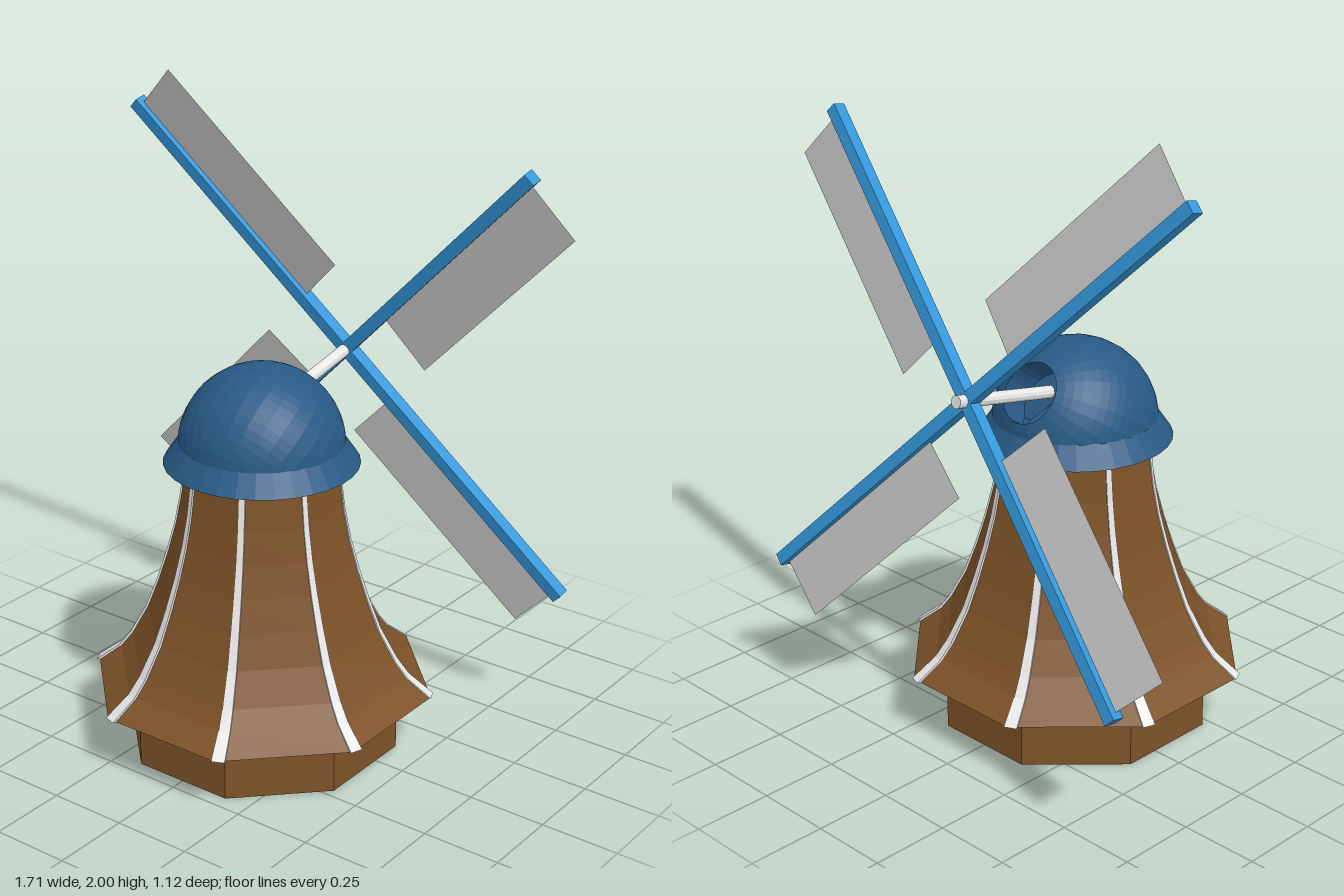
import * as THREE from 'three';

const flat = (name, color) => {
  const m = new THREE.MeshStandardMaterial({ color, flatShading: true, side: THREE.DoubleSide });
  m.name = name;
  return m;
};
const wood = flat('brown wood', 0x7d5228);
const trim = flat('white trim', 0xeeeeee);
const canvas = flat('grey canvas', 0xcacaca);
const capBlue = flat('dark blue', 0x285a86);
const armBlue = flat('bright blue', 0x3498db);

const EIGHTH = Math.PI / 4;
const TOWER_Z = 0.055;

function add(parent, name, geometry, material, x = 0, y = 0, z = 0) {
  const mesh = new THREE.Mesh(geometry, material);
  mesh.name = name;
  mesh.position.set(x, y, z);
  parent.add(mesh);
  return mesh;
}

// Flared tower outline: half-width across flats, height
const outline = [
  [0.5, 0.19], [0.43, 0.25], [0.395, 0.3], [0.345, 0.4], [0.31, 0.5],
  [0.28, 0.6], [0.255, 0.7], [0.237, 0.8], [0.22, 0.95],
].map(([a, y]) => new THREE.Vector2(a / Math.cos(EIGHTH / 2), y));

// Thin trim that follows one corner of the tower, its side columns tucked into the wall
function ribGeometry(corner) {
  const g = new THREE.LatheGeometry(outline, 3, 0, 1);
  const p = g.attributes.position;
  const angles = [-0.022, -0.018, 0.056, 0.056];
  const scales = [0.96, 1.003, 1.0, 0.94];
  for (let i = 0; i < 4; i++) {
    outline.forEach((pt, j) => {
      const r = pt.x * scales[i], phi = corner + angles[i];
      p.setXYZ(i * outline.length + j, r * Math.sin(phi), pt.y, r * Math.cos(phi));
    });
  }
  return g;
}

// Half dome with a recessed round opening for the shaft
function domeGeometry(radius) {
  const open = 0.39, steps = 26, profile = [];
  for (let i = 0; i <= steps; i++) {
    const t = Math.PI - (Math.PI - open) * (i / steps);
    profile.push(new THREE.Vector2(radius * Math.sin(t), radius * Math.cos(t)));
  }
  const rim = radius * Math.sin(open);
  profile.push(new THREE.Vector2(rim, 0.13), new THREE.Vector2(0, 0.13));
  const g = new THREE.LatheGeometry(profile, 32);
  g.rotateX(-THREE.MathUtils.degToRad(55));
  // Flatten everything below the equator onto the base circle
  const p = g.attributes.position;
  for (let i = 0; i < p.count; i++) {
    if (p.getY(i) >= 0) continue;
    const k = radius / Math.max(Math.hypot(p.getX(i), p.getZ(i)), 0.001);
    p.setXYZ(i, p.getX(i) * k, 0, p.getZ(i) * k);
  }
  return g;
}

export function createModel() {
  const model = new THREE.Group();
  model.name = 'windmill';

  // Tower
  const tower = new THREE.Group();
  tower.name = 'tower';
  tower.position.z = TOWER_Z;
  model.add(tower);
  const baseR = 0.4 / Math.cos(EIGHTH / 2);
  add(tower, 'base', new THREE.CylinderGeometry(baseR, baseR, 0.19, 8, 1, false, EIGHTH / 2), wood, 0, 0.095, 0);
  const wall = [new THREE.Vector2(0, 0.19), ...outline];
  add(tower, 'flaredWall', new THREE.LatheGeometry(wall, 8, EIGHTH / 2), wood);
  for (let i = 0; i < 8; i++) {
    add(tower, 'cornerTrim', ribGeometry((i + 0.5) * EIGHTH), trim);
  }

  // Cap
  add(tower, 'capBrim', new THREE.CylinderGeometry(0.252, 0.3, 0.07, 32), capBlue, 0, 0.965, 0);
  add(tower, 'capDome', domeGeometry(0.255), capBlue, 0, 0.98, 0);

  // Rotor, tilted with its shaft
  const rotor = new THREE.Group();
  rotor.name = 'rotor';
  rotor.position.set(0, 1.1625, -0.386);
  rotor.rotation.x = 0.2;
  model.add(rotor);
  const shaft = new THREE.CylinderGeometry(0.02, 0.02, 0.39, 12).rotateX(Math.PI / 2);
  add(rotor, 'shaft', shaft, trim, 0, 0, 0.145);

  // Four arms, each with a slightly pitched sail on one side
  for (let i = 0; i < 4; i++) {
    const blade = new THREE.Group();
    blade.name = 'blade';
    blade.rotation.z = EIGHTH + i * Math.PI / 2;
    rotor.add(blade);
    add(blade, 'arm', new THREE.BoxGeometry(0.04, 1.02, 0.04), armBlue, 0, 0.51, 0);
    const sail = new THREE.PlaneGeometry(0.212, 0.79).translate(0.106, 0.605, 0);
    add(blade, 'sail', sail, canvas).rotation.y = -0.07;
  }
  return model;
}
